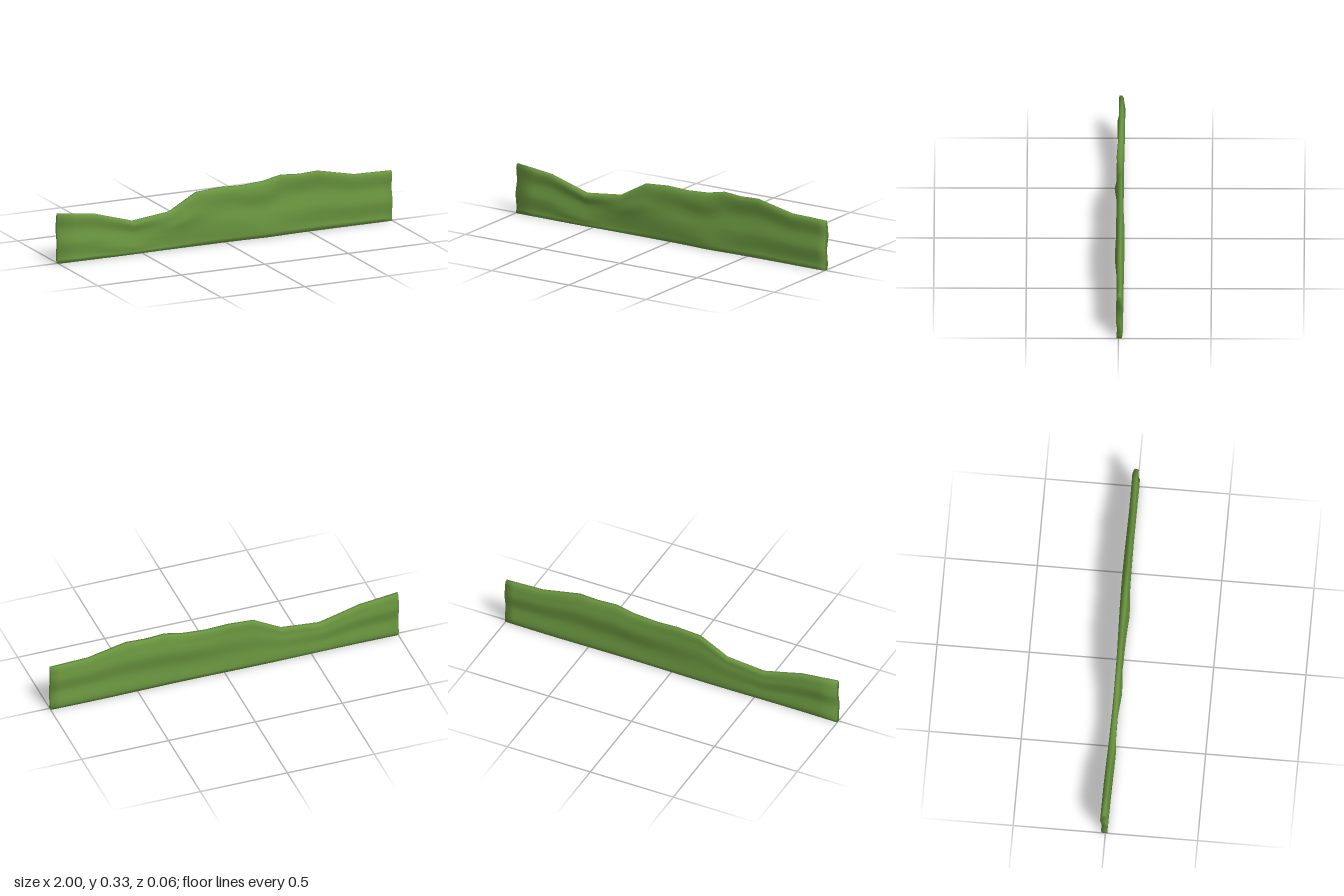
import * as THREE from 'three';

// Height of the upper edge along the length: [x, y]
const TOP = [[-1, 0.275], [-0.78, 0.25], [-0.55, 0.183], [-0.33, 0.208], [-0.17, 0.297],
  [-0.03, 0.307], [0.1, 0.302], [0.23, 0.31], [0.34, 0.333], [0.45, 0.325], [0.56, 0.33],
  [0.78, 0.283], [0.9, 0.28], [1, 0.277]];

// Sideways wave of the end section, from the ground to the upper edge: [t, z]
const WAVE = [[0, 0], [0.1, -0.008], [0.4, 0.003], [0.68, -0.013], [0.85, -0.006], [1, -0.003]];

// Swellings on the front: [x, t, depth]
const BUMPS = [[-0.6, 0.2, 0.017], [-0.24, 0.62, 0.018], [0.22, 0.75, 0.016],
  [0.25, 0.1, 0.012], [-0.55, 0.9, 0.008]];

function sample(table, v) {
  let i = 1;
  while (i < table.length - 1 && v > table[i][0]) i++;
  const [a, b] = [table[i - 1], table[i]];
  return a[1] + (b[1] - a[1]) * (v - a[0]) / (b[0] - a[0]);
}

// Offset of the middle of the strip and extra depth of its front
function middle(x, t) {
  const drift = 0.004 * Math.sin(5 * x + 4 * t) + 0.003 * Math.sin(9 * t - 3 * x);
  return sample(WAVE, t) * (0.55 + 0.45 * Math.abs(x)) + drift * (1 - x * x) - 0.003;
}
function swelling(x, t) {
  return BUMPS.reduce((sum, [bx, bt, d]) =>
    sum + d * Math.exp(-(((x - bx) / 0.11) ** 2) - ((t - bt) / 0.16) ** 2), 0);
}

function stripGeometry() {
  const xs = [];
  for (const [x] of TOP) {
    if (xs.length) xs.push((xs[xs.length - 1] + x) / 2);
    xs.push(x);
  }
  const rows = 14, ring = 2 * (rows + 1);
  const pos = [], index = [];

  // Closed cross-sections: up the front, then down the back
  for (const x of xs) {
    const h = sample(TOP, x);
    for (let k = 0; k < ring; k++) {
      const front = k <= rows;
      const t = (front ? k : ring - 1 - k) / rows;
      const half = t === 1 ? 0.007 : t === 0 ? 0.013 : 0.014;
      const z = middle(x, t) + (front ? half + swelling(x, t) : -half);
      pos.push(x, t * h, z);
    }
  }
  for (let i = 0; i < xs.length - 1; i++) {
    for (let k = 0; k < ring; k++) {
      const a = i * ring + k, b = i * ring + (k + 1) % ring;
      index.push(a, a + ring, b, b, a + ring, b + ring);
    }
  }
  // End caps
  const last = (xs.length - 1) * ring;
  for (let k = 0; k < rows; k++) {
    const f = k, g = k + 1, bk = ring - 1 - k, bg = ring - 2 - k;
    index.push(f, g, bk, g, bg, bk);
    index.push(last + f, last + bk, last + g, last + g, last + bk, last + bg);
  }

  const geo = new THREE.BufferGeometry();
  geo.setAttribute('position', new THREE.Float32BufferAttribute(pos, 3));
  geo.setIndex(index);
  geo.computeVertexNormals();

  // Soft rounding of the normals towards both ends
  const n = geo.attributes.normal, v = new THREE.Vector3();
  for (let k = 0; k < ring; k++) {
    for (const [i, side] of [[k, -1], [last + k, 1]]) {
      v.fromBufferAttribute(n, i);
      v.x = side * 0.7;
      v.normalize();
      n.setXYZ(i, v.x, v.y, v.z);
    }
  }
  return geo;
}

export function createModel() {
  const leafGreen = new THREE.MeshStandardMaterial({ color: 0x6a963f });
  leafGreen.name = 'leafGreen';

  const group = new THREE.Group();
  group.name = 'hedgeStrip';
  const strip = new THREE.Mesh(stripGeometry(), leafGreen);
  strip.name = 'hedge';
  group.add(strip);
  return group;
}
